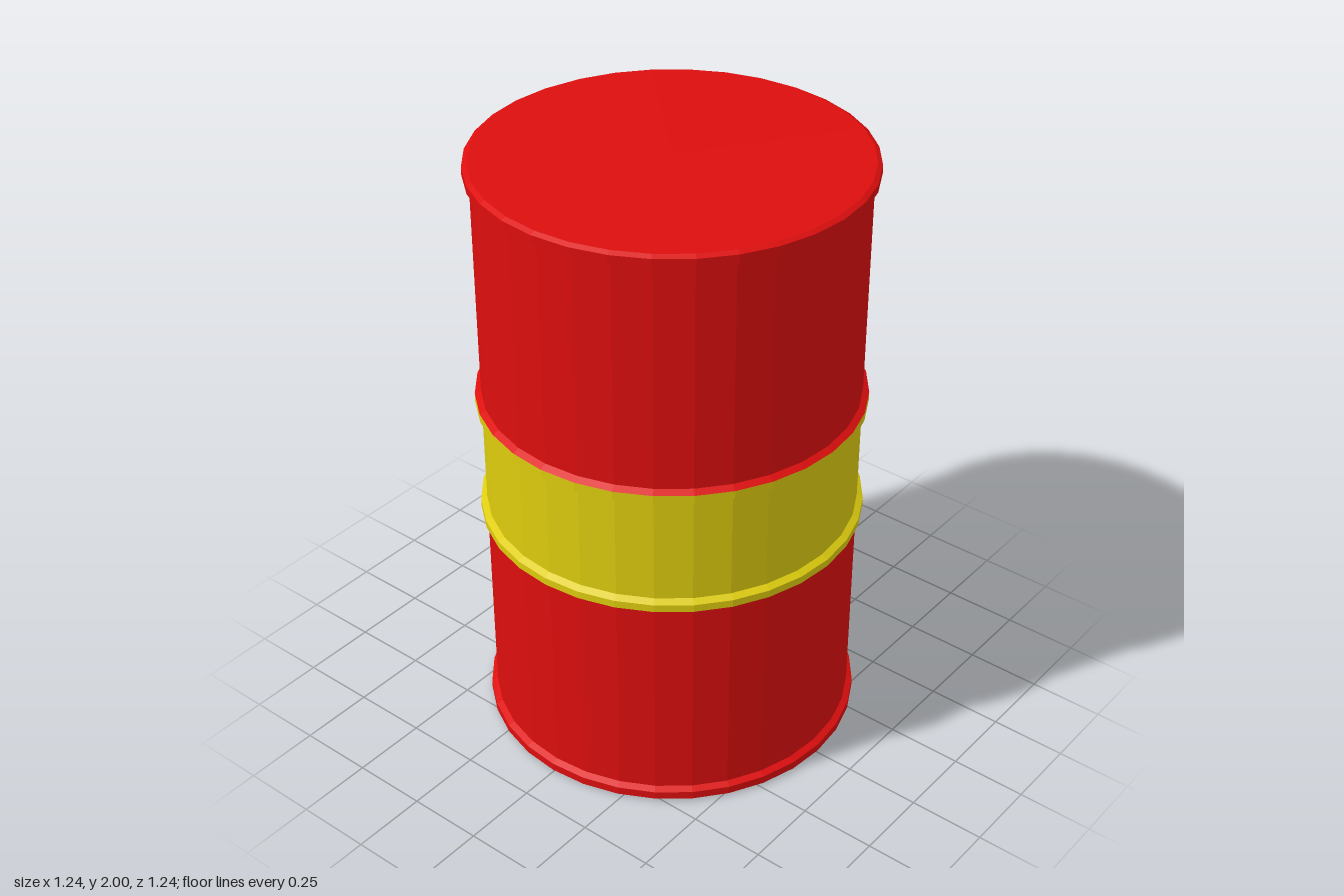
import * as THREE from 'three';

export function createModel() {
  const group = new THREE.Group();
  group.name = 'drum';
  const red = new THREE.MeshStandardMaterial({ color: 0xdd0e0e, flatShading: true });
  red.name = 'red paint';
  const yellow = new THREE.MeshStandardMaterial({ color: 0xddcc0e, flatShading: true });
  yellow.name = 'yellow paint';

  const SIDES = 32, WALL = 0.6, RIM = 0.62;

  // Turn a [radius, height] profile, listed from bottom to top
  function turn(name, profile, material) {
    const points = profile.map(([r, y]) => new THREE.Vector2(r, y));
    const mesh = new THREE.Mesh(new THREE.LatheGeometry(points, SIDES), material);
    mesh.name = name;
    group.add(mesh);
  }

  // Base, bottom rim and lower wall, ending under the lower hoop
  turn('lowerBody', [
    [0, 0], [WALL + 0.005, 0], [RIM, 0.008], [RIM, 0.035], [WALL, 0.045],
    [WALL, 0.765], [RIM, 0.775],
  ], red);

  // Painted middle between the outer faces of the two hoops
  turn('middleBand', [
    [RIM, 0.775], [RIM, 0.8], [WALL, 0.812],
    [WALL, 1.165], [RIM, 1.177], [RIM, 1.205],
  ], yellow);

  // Top of the upper hoop, upper wall, top rim and lid
  turn('upperBody', [
    [RIM, 1.205], [WALL, 1.217], [WALL, 1.955], [RIM, 1.965],
    [RIM, 1.992], [WALL + 0.005, 2], [0, 2],
  ], red);

  return group;
}
